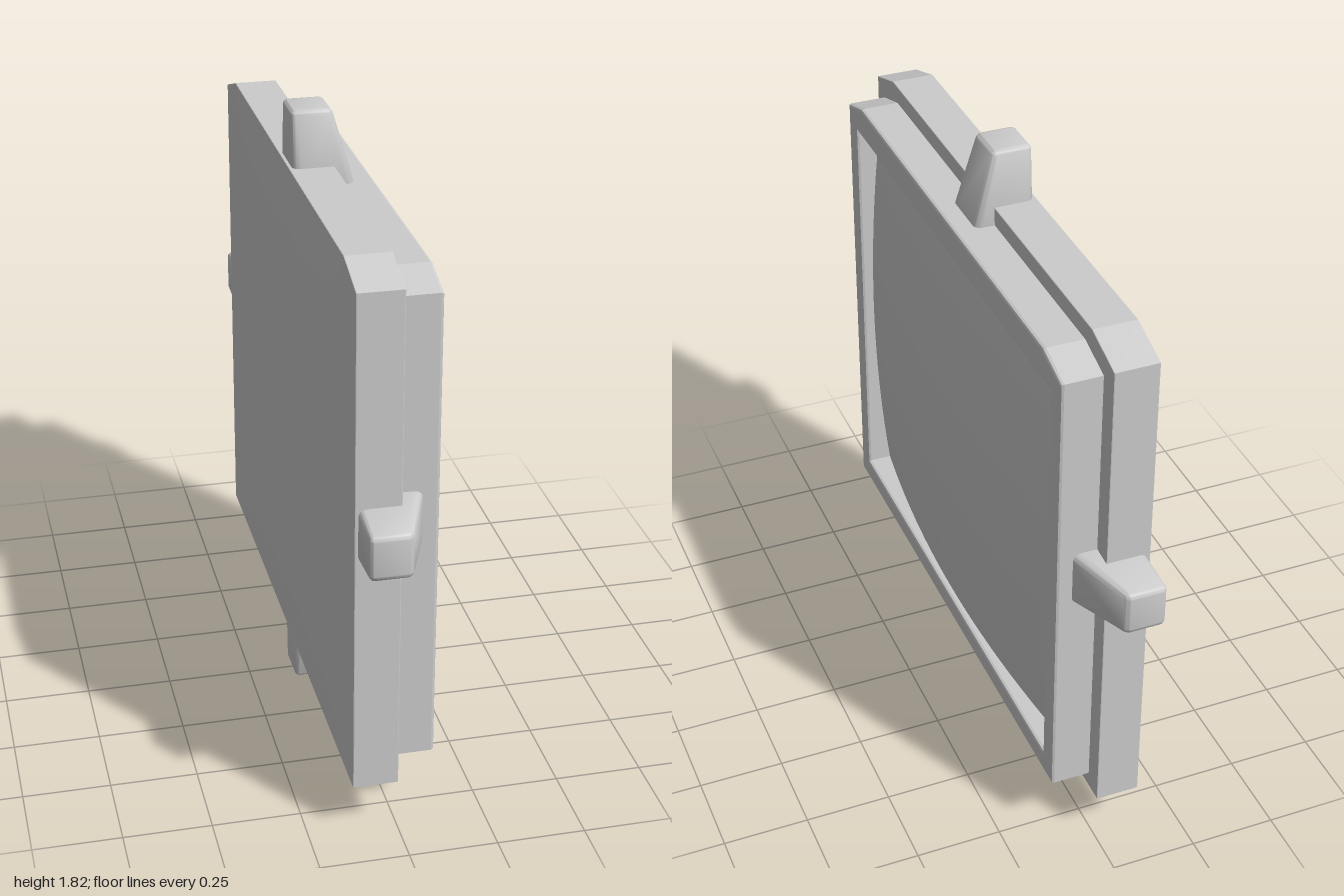
import * as THREE from 'three';
import { toCreasedNormals } from 'three/addons/utils/BufferGeometryUtils.js';
import { RoundedBoxGeometry } from 'three/addons/geometries/RoundedBoxGeometry.js';

const material = new THREE.MeshStandardMaterial({ color: 0xcccccc });

// Rectangle whose two top corners are cut off
function clippedPanel(halfWidth, bottom, top, cutX, cutY) {
  return new THREE.Shape([
    [-halfWidth, bottom], [halfWidth, bottom], [halfWidth, top - cutY],
    [halfWidth - cutX, top], [-halfWidth + cutX, top], [-halfWidth, top - cutY],
  ].map(([x, y]) => new THREE.Vector2(x, y)));
}

// Extrudes a panel between two depths with a small bevel inside its outline
function panelGeometry(shape, back, front, bevel) {
  const geometry = new THREE.ExtrudeGeometry(shape, {
    depth: front - back - 2 * bevel, bevelEnabled: true,
    bevelSize: bevel, bevelThickness: bevel, bevelOffset: 0, bevelSegments: 2,
  });
  geometry.translate(0, 0, back + bevel);
  return geometry;
}

// Moves the vertices of a flat grid by a rule
function warp(geometry, rule) {
  const p = geometry.attributes.position;
  const v = new THREE.Vector3();
  for (let i = 0; i < p.count; i++) {
    rule(v.fromBufferAttribute(p, i));
    p.setXYZ(i, v.x, v.y, v.z);
  }
  geometry.computeVertexNormals();
  return geometry;
}

// Tapered lug with its tip at y = 0 and its root below, wider and deeper at the root
function lugGeometry(length, slope) {
  const geometry = new RoundedBoxGeometry(0.13, length, 0.115, 3, 0.016);
  geometry.translate(0, -length / 2, 0);
  warp(geometry, (v) => {
    const depth = -v.y;
    const t = v.z / 0.115 + 0.5;
    v.x *= 1 + 1.5 * depth;
    v.z = -0.118 + t * (0.115 + slope * depth);
  });
  return toCreasedNormals(geometry, 0.6);
}

export function createModel() {
  const model = new THREE.Group();
  const body = new THREE.Group();
  body.name = 'screenUnit';
  body.rotation.y = Math.PI / 2; // the screen looks along +x
  model.add(body);

  const add = (name, geometry) => {
    const mesh = new THREE.Mesh(geometry, material);
    mesh.name = name;
    body.add(mesh);
    return mesh;
  };

  // Back plate
  add('backPlate', panelGeometry(clippedPanel(0.866, 0.154, 1.656, 0.135, 0.045), -0.128, 0, 0.003));

  // Slightly domed rear cover following the plate outline
  const cover = new THREE.PlaneGeometry(2, 2, 40, 40);
  warp(cover, (v) => {
    const dome = (1 - v.x ** 4) * (1 - v.y ** 4);
    const x = v.x * 0.866;
    const top = 1.656 - 0.045 * Math.max(0, (Math.abs(x) - 0.731) / 0.135);
    v.set(-x, 0.154 + (v.y + 1) / 2 * (top - 0.154), -0.1275 - 0.0125 * dome);
  });
  add('rearCover', cover);

  // Front frame with its screen opening
  const outline = clippedPanel(0.801, 0.209, 1.598, 0.11, 0.035);
  outline.holes.push(new THREE.Path([
    [-0.752, 0.26], [-0.752, 1.522], [0.752, 1.522], [0.752, 0.26],
  ].map(([x, y]) => new THREE.Vector2(x, y))));
  add('frontFrame', panelGeometry(outline, -0.01, 0.116, 0.009));

  // Bulging screen glass
  const glass = new THREE.PlaneGeometry(1.52, 1.28, 32, 28);
  warp(glass, (v) => { v.z = 0.135 - 0.1 * (v.x * v.x + v.y * v.y); });
  add('screen', glass).position.y = 0.891;

  // Mounting lugs around the rim
  const lugs = [
    ['topLug', 0, 1.82, 0, 0.25, 0.28],
    ['bottomLug', 0, 0, Math.PI, 0.24, 0.28],
    ['frontLug', -1, 0.933, Math.PI / 2, 0.225, 0.38],
    ['rearLug', 1, 0.933, -Math.PI / 2, 0.225, 0.38],
  ];
  for (const [name, x, y, turn, length, slope] of lugs) {
    const lug = add(name, lugGeometry(length, slope));
    lug.position.set(x, y, 0);
    lug.rotation.z = turn;
  }
  return model;
}
